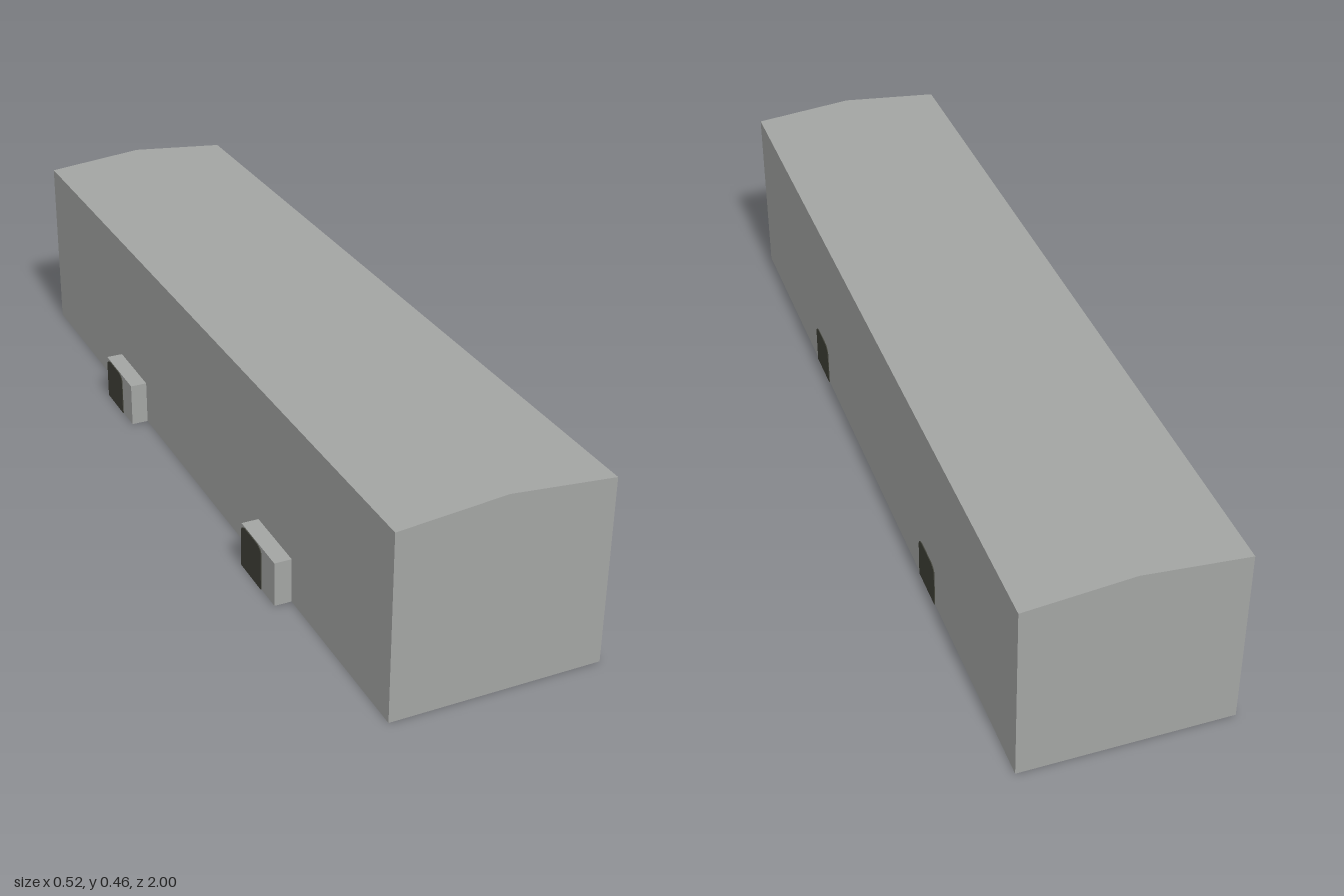
import * as THREE from 'three';

const X0 = -0.22, X1 = 0.26, RIDGE_X = 0.02; // side walls and ridge
const EAVE = 0.433, RIDGE = 0.455, END = 1;
const PORCH_X = -0.26, PORCH_H = 0.107;
const porches = [[-0.495, -0.318], [0.378, 0.552]]; // z ranges
const doors = [[-0.49, -0.383], [0.378, 0.485]];

export function createModel() {
  const group = new THREE.Group();
  const wallGrey = new THREE.MeshStandardMaterial({ color: 0xa3a5a3, side: THREE.DoubleSide });
  wallGrey.name = 'wall grey';
  const doorDark = new THREE.MeshStandardMaterial({ color: 0x3f4037 });
  doorDark.name = 'door dark';

  const add = (name, geometry, material, parent = group) => {
    const mesh = new THREE.Mesh(geometry, material);
    mesh.name = name;
    parent.add(mesh);
    return mesh;
  };
  // flat four-cornered panel, corners anticlockwise from outside
  const quad = (a, b, c, d) => {
    const g = new THREE.BufferGeometry();
    g.setAttribute('position', new THREE.Float32BufferAttribute([a, b, c, a, c, d].flat(), 3));
    g.computeVertexNormals();
    return g;
  };
  const shapeOf = (points) => new THREE.Shape(points.map((p) => new THREE.Vector2(...p)));

  // gable ends
  const gable = shapeOf([[X0, 0], [X1, 0], [X1, EAVE], [RIDGE_X, RIDGE], [X0, EAVE]]);
  add('frontWall', new THREE.ShapeGeometry(gable).translate(0, 0, END), wallGrey);
  const back = shapeOf([[-X1, 0], [-X0, 0], [-X0, EAVE], [-RIDGE_X, RIDGE], [-X1, EAVE]]);
  add('backWall', new THREE.ShapeGeometry(back).rotateY(Math.PI).translate(0, 0, -END), wallGrey);

  // plain long wall, and the long wall with openings into the porches
  add('leftWall', quad([X1, 0, END], [X1, 0, -END], [X1, EAVE, -END], [X1, EAVE, END]), wallGrey);
  const notches = porches.flatMap(([a, b]) => [[a, 0], [a, PORCH_H], [b, PORCH_H], [b, 0]]);
  const side = shapeOf([[-END, 0], ...notches, [END, 0], [END, EAVE], [-END, EAVE]]);
  add('rightWall', new THREE.ShapeGeometry(side).rotateY(-Math.PI / 2).translate(X0, 0, 0), wallGrey);

  // shallow roof slopes
  add('leftRoof', quad([RIDGE_X, RIDGE, END], [X1, EAVE, END], [X1, EAVE, -END], [RIDGE_X, RIDGE, -END]), wallGrey);
  add('rightRoof', quad([X0, EAVE, END], [RIDGE_X, RIDGE, END], [RIDGE_X, RIDGE, -END], [X0, EAVE, -END]), wallGrey);

  // hollow porches, open below and towards the hall
  porches.forEach(([a, b]) => {
    const porch = new THREE.Group();
    porch.name = 'porch';
    group.add(porch);
    const P = PORCH_X, H = PORCH_H;
    add('porchFace', quad([P, 0, a], [P, 0, b], [P, H, b], [P, H, a]), wallGrey, porch);
    add('porchRoof', quad([P, H, b], [X0, H, b], [X0, H, a], [P, H, a]), wallGrey, porch);
    add('porchFrontSide', quad([P, 0, b], [X0, 0, b], [X0, H, b], [P, H, b]), wallGrey, porch);
    add('porchBackSide', quad([X0, 0, a], [P, 0, a], [P, H, a], [X0, H, a]), wallGrey, porch);
  });

  // round-shouldered doors, thin plates showing on both faces of the wall
  doors.forEach(([a, b]) => {
    const top = 0.105, r = 0.03, drop = 0.018;
    const s = new THREE.Shape();
    s.moveTo(a, 0).lineTo(b, 0).lineTo(b, top - drop);
    s.quadraticCurveTo(b, top, b - r, top).lineTo(a + r, top);
    s.quadraticCurveTo(a, top, a, top - drop);
    for (const x of [X1, PORCH_X]) {
      const plate = new THREE.ExtrudeGeometry(s, { depth: 0.004, bevelEnabled: false, curveSegments: 5 });
      add('door', plate.rotateY(-Math.PI / 2).translate(x + 0.002, 0, 0), doorDark);
    }
  });
  return group;
}
